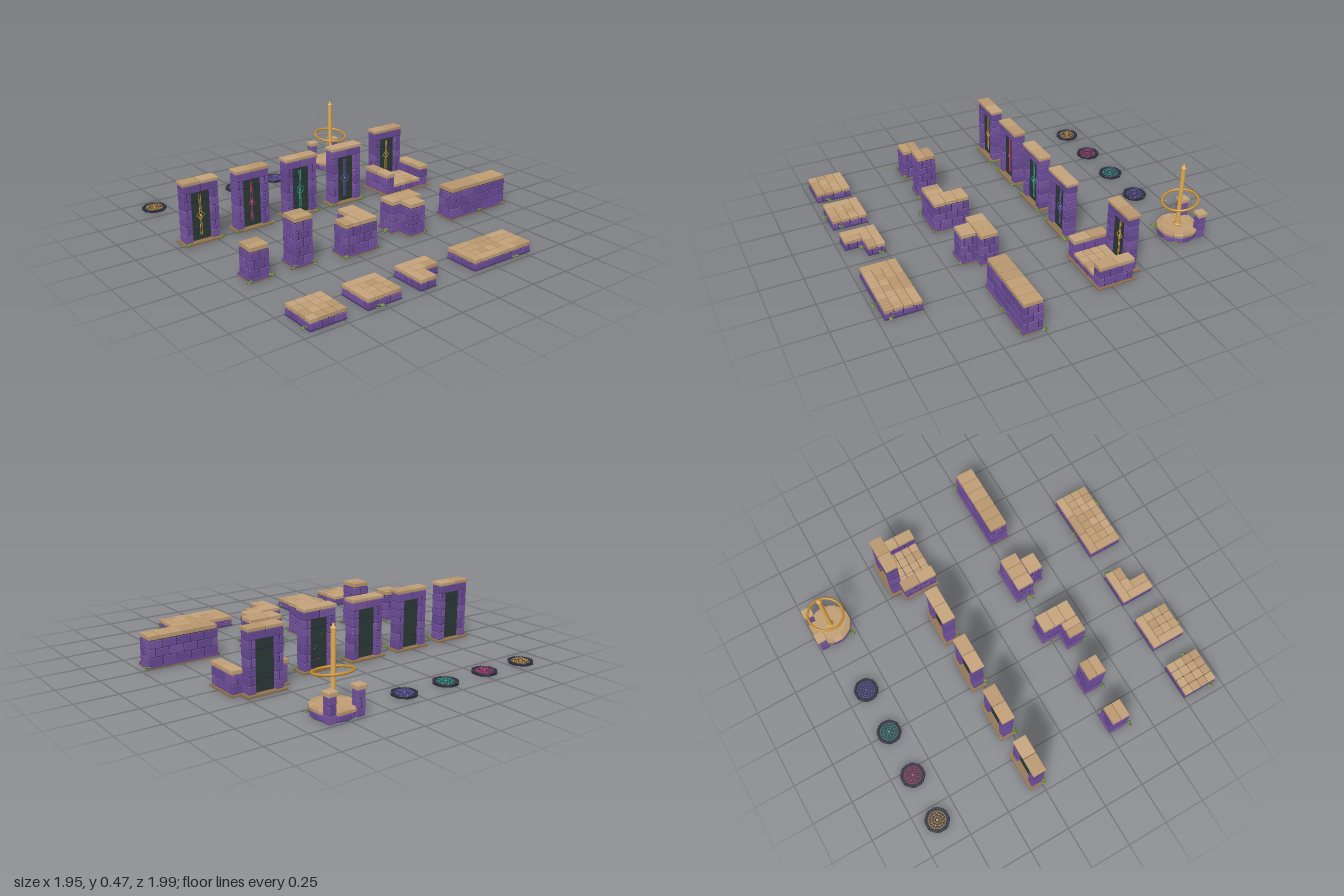
import * as THREE from 'three';
import { RoundedBoxGeometry } from 'three/addons/geometries/RoundedBoxGeometry.js';

let seed = 7;
const rnd = () => (seed = (seed * 16807) % 2147483647) / 2147483647;
const mat = (c) => new THREE.MeshStandardMaterial({ color: c });

export function createModel() {
  seed = 7;
  const root = new THREE.Group();
  const purple = [0x6f4f9c, 0x76559f, 0x684a94].map(mat);
  const tan = [0xbf9d74, 0xb8966e, 0xc4a37a].map(mat);
  const mortar = mat(0x2b2238), under = mat(0x4a3870), brown = mat(0x8f7350);
  const panelMat = mat(0x2c3835), gold = mat(0xc98f2c), wax = mat(0xe0ab55);
  const slate = mat(0x2c2c3c), moss = [0x55752c, 0x6b8a35].map(mat);

  const group = (name, parent = root) => {
    const g = new THREE.Group();
    g.name = name;
    parent.add(g);
    return g;
  };
  const add = (g, name, geo, m, x = 0, y = 0, z = 0) => {
    const o = new THREE.Mesh(geo, m);
    o.name = name;
    o.position.set(x, y, z);
    g.add(o);
    return o;
  };
  // box given by its limits
  const slab = (g, name, m, x0, x1, y0, y1, z0, z1) =>
    add(g, name, new THREE.BoxGeometry(x1 - x0, y1 - y0, z1 - z0), m, (x0 + x1) / 2, (y0 + y1) / 2, (z0 + z1) / 2);
  // one chamfered stone
  const stone = (g, name, mats, x0, x1, y0, y1, z0, z1) => {
    const w = x1 - x0 - 0.003, h = y1 - y0 - 0.002, d = z1 - z0 - 0.003;
    return add(g, name, new RoundedBoxGeometry(w, h, d, 1, 0.004), mats[Math.floor(rnd() * 3)],
      (x0 + x1) / 2, (y0 + y1) / 2, (z0 + z1) / 2);
  };
  // cut points along one axis; odd courses are shifted by half a stone
  const cuts = (a, b, n, odd) => {
    const s = (b - a) / n, c = [a];
    if (odd) for (let i = 0; i < n; i++) c.push(a + s * (i + 0.5));
    else for (let i = 1; i < n; i++) c.push(a + s * i);
    return [...c, b];
  };
  const grid = (g, name, mats, xs, y0, y1, zs) => {
    for (let i = 0; i + 1 < xs.length; i++)
      for (let k = 0; k + 1 < zs.length; k++) stone(g, name, mats, xs[i], xs[i + 1], y0, y1, zs[k], zs[k + 1]);
  };
  // running-bond masonry around a dark core
  const bricks = (g, x0, x1, y0, y1, z0, z1, rows, nx, nz) => {
    slab(g, 'mortar', mortar, x0 + 0.006, x1 - 0.006, y0, y1 + 0.004, z0 + 0.006, z1 - 0.006);
    const h = (y1 - y0) / rows;
    for (let r = 0; r < rows; r++)
      grid(g, 'brick', purple, cuts(x0, x1, nx, r % 2), y0 + r * h, y0 + (r + 1) * h, cuts(z0, z1, nz, nz > 1 && r % 2 === 0));
  };
  const caps = (g, x0, x1, y0, y1, z0, z1, nx, nz) =>
    grid(g, 'capStone', tan, cuts(x0, x1, nx), y0, y1, cuts(z0, z1, nz));
  // tufts of moss at the foot of the stones
  const tufts = (g, spots) => {
    for (const [x, z] of spots)
      for (let i = 0; i < 5; i++) {
        const o = add(g, 'moss', new THREE.IcosahedronGeometry(0.006 + rnd() * 0.006, 0), moss[i % 2],
          x + (rnd() - 0.5) * 0.035, 0.008 + rnd() * 0.012, z + (rnd() - 0.5) * 0.025);
        o.scale.y = 0.6;
      }
  };

  // Floor tiles: purple course with tan paving
  const floor = (name, rects, paving, spots) => {
    const g = group(name);
    for (const [x0, x1, z0, z1, nx, nz] of rects) {
      slab(g, 'underside', under, x0, x1, 0, 0.006, z0, z1);
      bricks(g, x0, x1, 0.004, 0.039, z0, z1, 1, nx, nz);
    }
    for (const [x0, x1, z0, z1, nx, nz] of paving) caps(g, x0, x1, 0.039, 0.066, z0, z1, nx, nz);
    tufts(g, spots);
  };
  floor('pavedFloor', [[-0.945, -0.73, 0.75, 0.965, 3, 3]], [[-0.945, -0.73, 0.75, 0.965, 4, 4]],
    [[-0.95, 0.93], [-0.725, 0.9]]);
  floor('cornerFloor', [[-0.605, -0.39, 0.75, 0.965, 3, 3]],
    [[-0.605, -0.39, 0.75, 0.803, 1, 1], [-0.605, -0.552, 0.803, 0.965, 1, 1], [-0.552, -0.39, 0.803, 0.965, 3, 3]],
    [[-0.54, 0.975], [-0.385, 0.92]]);
  floor('angledFloor', [[-0.265, -0.05, 0.75, 0.858, 3, 2], [-0.265, -0.157, 0.858, 0.965, 2, 2]],
    [[-0.265, -0.05, 0.75, 0.803, 1, 1], [-0.265, -0.212, 0.803, 0.965, 1, 1], [-0.212, -0.05, 0.803, 0.858, 2, 1],
      [-0.212, -0.157, 0.858, 0.965, 1, 1]], [[-0.045, 0.78], [-0.145, 0.87]]);
  floor('longFloor', [[0.115, 0.54, 0.75, 0.965, 6, 3]],
    [[0.115, 0.54, 0.75, 0.803, 3, 1], [0.115, 0.168, 0.803, 0.965, 1, 1], [0.168, 0.54, 0.803, 0.965, 7, 3]],
    [[0.3, 0.745], [0.4, 0.975], [0.545, 0.93]]);

  // Walls: base, masonry and a row of cap stones for each rectangle
  const wall = (name, top, rows, rects, spots) => {
    const g = group(name);
    for (const [x0, x1, z0, z1, nx, nz, cx, cz] of rects) {
      slab(g, 'foot', brown, x0, x1, 0, 0.008, z0, z1);
      slab(g, 'plinth', purple[2], x0 + 0.001, x1 - 0.001, 0.008, 0.018, z0 + 0.001, z1 - 0.001);
      bricks(g, x0 + 0.007, x1 - 0.007, 0.016, top - 0.03, z0 + 0.007, z1 - 0.007, rows, nx, nz);
      caps(g, x0 + 0.009, x1 - 0.009, top - 0.03, top, z0 + 0.009, z1 - 0.009, cx, cz);
    }
    tufts(g, spots);
  };
  wall('shortPillar', 0.197, 3, [[-0.905, -0.773, 0.243, 0.375, 2, 2, 1, 2]], [[-0.905, 0.375], [-0.77, 0.38]]);
  wall('tallPillar', 0.29, 5, [[-0.63, -0.497, 0.243, 0.375, 2, 2, 1, 2]], [[-0.63, 0.36], [-0.49, 0.375]]);
  wall('cornerWall', 0.197, 3, [[-0.23, -0.1, 0.19, 0.43, 2, 3, 1, 3], [-0.335, -0.215, 0.303, 0.43, 2, 2, 2, 1]],
    [[-0.33, 0.43], [-0.1, 0.43]]);
  wall('teeWall', 0.197, 3, [[0.08, 0.32, 0.193, 0.32, 3, 2, 3, 1], [0.138, 0.267, 0.306, 0.415, 2, 2, 1, 1]],
    [[0.07, 0.28], [0.26, 0.415], [0.32, 0.21]]);
  wall('longWall', 0.197, 3, [[0.5, 0.96, 0.243, 0.375, 5, 2, 6, 1]], [[0.74, 0.38], [0.93, 0.375], [0.957, 0.25]]);

  // Doorways: jambs, lintel, cap, double door with a coloured emblem
  const doorway = (name, cx, cz, color, sides, lift = 0) => {
    const g = group(name), m = mat(color);
    g.position.set(cx, 0, cz);
    slab(g, 'foot', brown, -0.123, 0.123, 0, 0.012, -0.052, 0.052);
    for (const s of [-1, 1]) {
      const a = s < 0 ? -0.111 : 0.06;
      bricks(g, a, a + 0.051, 0.012, 0.305, -0.036, 0.036, 6, 1, 1);
      const b = s < 0 ? -0.06 : 0.001;
      slab(g, 'doorLeaf', panelMat, b, b + 0.059, 0.012, 0.306, -0.014, 0.014);
      slab(g, 'seam', m, s * 0.005 - 0.0015, s * 0.005 + 0.0015, 0.04, 0.285, 0.013, 0.017);
      for (const y of [0.08, 0.25]) slab(g, 'hinge', slate, s * 0.035 - 0.022, s * 0.035 + 0.022, y - 0.005, y + 0.005, -0.017, 0.017);
    }
    bricks(g, -0.111, 0.111, 0.305, 0.352, -0.036, 0.036, 1, 2, 1);
    caps(g, -0.114, 0.114, 0.352, 0.375, -0.042, 0.042, 2, 1);
    const e = add(g, 'emblem', new THREE.TorusGeometry(0.026, 0.0025, 4, sides), m, 0, 0.16 + lift, 0.017);
    e.rotation.z = Math.PI / 2;
    add(g, 'emblemCore', new THREE.OctahedronGeometry(0.007), m, 0, 0.16 + lift, 0.017);
    tufts(g, [[-0.11, 0.045], [0.115, 0.045]]);
  };
  const colors = [0xc9983a, 0xc23a72, 0x2fa08c, 0x6658b8];
  [-0.836, -0.5, -0.158, 0.18].forEach((x, i) => doorway('doorway' + (i + 1), x, -0.278, colors[i], [4, 3, 6, 20][i]));

  // Raised entrance: doorway behind a paved landing with two side walls
  doorway('entranceDoorway', 0.624, -0.413, colors[0], 4, 0.03);
  const landing = group('entranceLanding');
  slab(landing, 'foot', brown, 0.44, 0.805, 0, 0.01, -0.4, -0.165);
  bricks(landing, 0.515, 0.73, 0.01, 0.045, -0.385, -0.172, 1, 4, 4);
  caps(landing, 0.515, 0.73, 0.045, 0.07, -0.375, -0.17, 4, 4);
  for (const x of [0.448, 0.73]) {
    bricks(landing, x, x + 0.067, 0.01, 0.118, -0.39, -0.172, 2, 1, 3);
    caps(landing, x - 0.003, x + 0.07, 0.118, 0.146, -0.393, -0.169, 1, 2);
  }

  // Floor seals: octagonal plates with coloured rings
  [-0.835, -0.54, -0.245, 0.05].forEach((x, i) => {
    const g = group('floorSeal' + (i + 1)), m = mat(colors[i]);
    g.position.set(x, 0, -0.876);
    add(g, 'plate', new THREE.CylinderGeometry(0.066, 0.07, 0.012, 8).rotateY(Math.PI / 8), slate, 0, 0.006, 0);
    for (const r of [0.05, 0.034, 0.018])
      add(g, 'ring', new THREE.TorusGeometry(r, 0.0018, 4, 24).rotateX(Math.PI / 2), m, 0, 0.013, 0);
    add(g, 'centre', new THREE.CylinderGeometry(0.008, 0.008, 0.004, 8), m, 0, 0.014, 0);
    for (let k = 0; k < 8; k++) {
      const arm = group('rimSection', g);
      arm.rotation.y = (k * Math.PI) / 4;
      add(arm, 'rimStone', new RoundedBoxGeometry(0.013, 0.016, 0.05, 1, 0.003), slate, 0.064, 0.009, 0);
      add(arm, 'spoke', new THREE.BoxGeometry(0.03, 0.002, 0.002), m, 0.034, 0.0125, 0);
      add(arm, 'mark', new THREE.OctahedronGeometry(0.004), m, 0.042 * Math.cos(0.39), 0.012, 0.042 * Math.sin(0.39));
    }
  });

  // Round shrine: paved drum, two back pillars, candle, tilted ring and sparks
  const shrine = group('shrine');
  shrine.position.set(0.515, 0, -0.875);
  add(shrine, 'drum', new THREE.CylinderGeometry(0.112, 0.112, 0.054, 12), under, 0, 0.027, 0);
  add(shrine, 'paving', new THREE.CylinderGeometry(0.093, 0.093, 0.058, 24), tan[0], 0, 0.031, 0);
  for (let k = 0; k < 12; k++) {
    const seg = group('drumSection', shrine);
    seg.rotation.y = (k * Math.PI) / 6;
    stone(seg, 'brick', purple, 0.082, 0.118, 0.004, 0.038, -0.031, 0.031);
    stone(seg, 'capStone', tan, 0.086, 0.122, 0.038, 0.061, -0.031, 0.031);
  }
  for (const s of [-1, 1]) {
    const p = group('backPillar', shrine);
    p.position.set(s * 0.088, 0, -0.091);
    bricks(p, -0.026, 0.026, 0.004, 0.145, -0.026, 0.026, 3, 1, 1);
    caps(p, -0.032, 0.032, 0.145, 0.172, -0.032, 0.032, 1, 1);
  }
  caps(shrine, -0.056, 0.056, 0.038, 0.061, -0.122, -0.08, 2, 1);
  const profile = [[0, 0.06], [0.024, 0.06], [0.024, 0.067], [0.013, 0.075], [0.013, 0.44], [0.016, 0.441],
    [0.016, 0.448], [0.007, 0.45], [0.006, 0.466], [0, 0.468]].map(([r, y]) => new THREE.Vector2(r, y));
  add(shrine, 'candle', new THREE.LatheGeometry(profile, 12), wax);
  const ring = add(shrine, 'tiltedRing', new THREE.TorusGeometry(0.105, 0.0075, 8, 40), gold, 0, 0.228, 0);
  ring.rotation.x = Math.PI / 2 + 0.16;
  for (let i = 0; i < 26; i++) {
    const a = i * 2.4, r = 0.06 + rnd() * 0.07;
    add(shrine, 'spark', new THREE.OctahedronGeometry(0.0028), wax, r * Math.cos(a), 0.09 + rnd() * 0.32, r * Math.sin(a));
  }
  tufts(shrine, [[-0.1, 0.09], [0.11, 0.085]]);
  return root;
}
